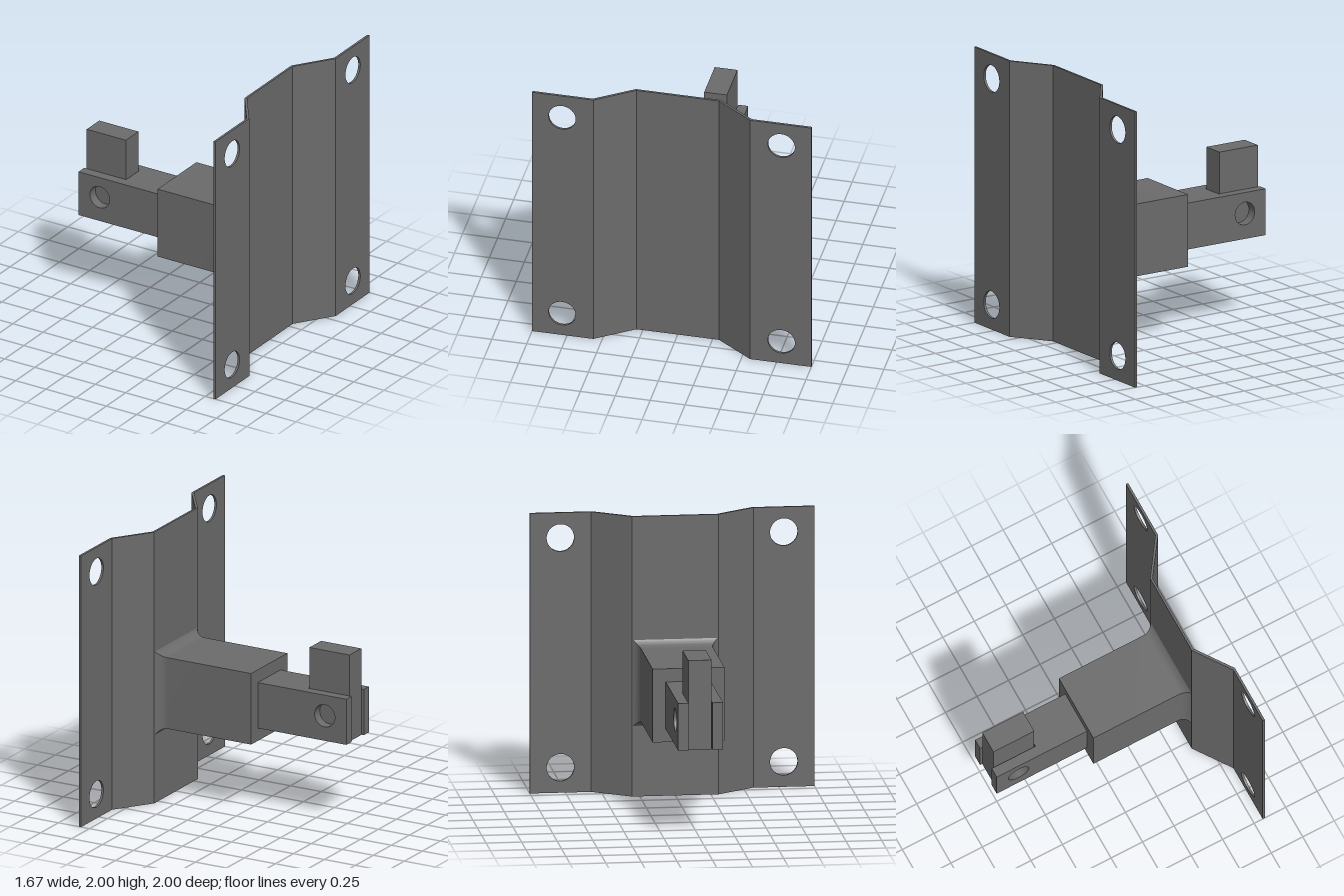
import * as THREE from 'three';
import { toCreasedNormals } from 'three/addons/utils/BufferGeometryUtils.js';

const material = new THREE.MeshStandardMaterial({ color: 0x6b6b6b });

function add(parent, name, geometry) {
  const mesh = new THREE.Mesh(toCreasedNormals(geometry, 0.5), material);
  mesh.name = name;
  parent.add(mesh);
}

// Box given by its limits on each axis
function box(x0, x1, y0, y1, z0, z1) {
  return new THREE.BoxGeometry(x1 - x0, y1 - y0, z1 - z0)
    .translate((x0 + x1) / 2, (y0 + y1) / 2, (z0 + z1) / 2);
}

// Rectangular sheet in the xy plane with round holes, thickened along z
function drilledSheet(x0, x1, y0, y1, depth, holes, radius) {
  const shape = new THREE.Shape([[x0, y0], [x1, y0], [x1, y1], [x0, y1]].map(p => new THREE.Vector2(...p)));
  for (const [x, y] of holes) {
    shape.holes.push(new THREE.Path().absarc(x, y, radius, 0, Math.PI * 2, true));
  }
  return new THREE.ExtrudeGeometry(shape, { depth, bevelEnabled: false, curveSegments: 24 });
}

export function createModel() {
  const model = new THREE.Group();
  model.name = 'mountingBracket';

  // Folded middle of the plate: flat web with two sloping sides
  const half = [[0.648, 0.296], [0.835, 0.562], [0.835, 0.57], [0.818, 0.57], [0.632, 0.304]];
  const profile = [...half, ...half.map(([x, z]) => [x, -z]).reverse()];
  const fold = new THREE.ExtrudeGeometry(
    new THREE.Shape(profile.map(p => new THREE.Vector2(...p))), { depth: 2, bevelEnabled: false });
  add(model, 'foldedPlate', fold.rotateX(-Math.PI / 2));

  // Flat flanges with two bolt holes each
  for (const side of [-1, 1]) {
    const [a, b] = side < 0 ? [-1, -0.57] : [0.57, 1];
    const flange = drilledSheet(a, b, 0, 2, 0.017, [[side * 0.785, 0.18], [side * 0.785, 1.82]], 0.097);
    add(model, side < 0 ? 'frontFlange' : 'backFlange', flange.rotateY(Math.PI / 2).translate(0.818, 0, 0));
  }

  // Thick socket, flaring in a fillet where it meets the plate
  const steps = 12, radius = 0.09;
  const socket = new THREE.BoxGeometry(1, 2, 2, steps, 1, 1);
  const pos = socket.attributes.position;
  for (let i = 0; i < pos.count; i++) {
    const step = Math.round((pos.getX(i) + 0.5) * steps);
    const angle = 1.11 * Math.max(0, step - 1) / (steps - 1);
    const grow = radius * (1 - Math.cos(angle));
    const x = step === 0 ? -0.12 : 0.554 + radius * Math.sin(angle);
    pos.setXYZ(i, x, 0.81 + pos.getY(i) * (0.262 + grow), pos.getZ(i) * (0.252 + grow));
  }
  add(model, 'socket', socket);

  // Forked arm: solid core between two drilled cheeks
  const arm = new THREE.Group();
  arm.name = 'forkedArm';
  model.add(arm);
  add(arm, 'armCore', box(-0.488, -0.12, 0.642, 0.978, -0.088, 0.082));
  for (const [name, z, depth] of [['frontCheek', 0.082, 0.073], ['backCheek', -0.16, 0.072]]) {
    const cheek = drilledSheet(-0.835, -0.12, 0.642, 0.978, depth, [[-0.66, 0.826]], 0.082);
    add(arm, name, cheek.translate(0, 0, z));
  }

  // Upright tongue held in the fork
  add(model, 'tongue', box(-0.818, -0.494, 0.642, 1.28, -0.087, 0.076));

  return model;
}
